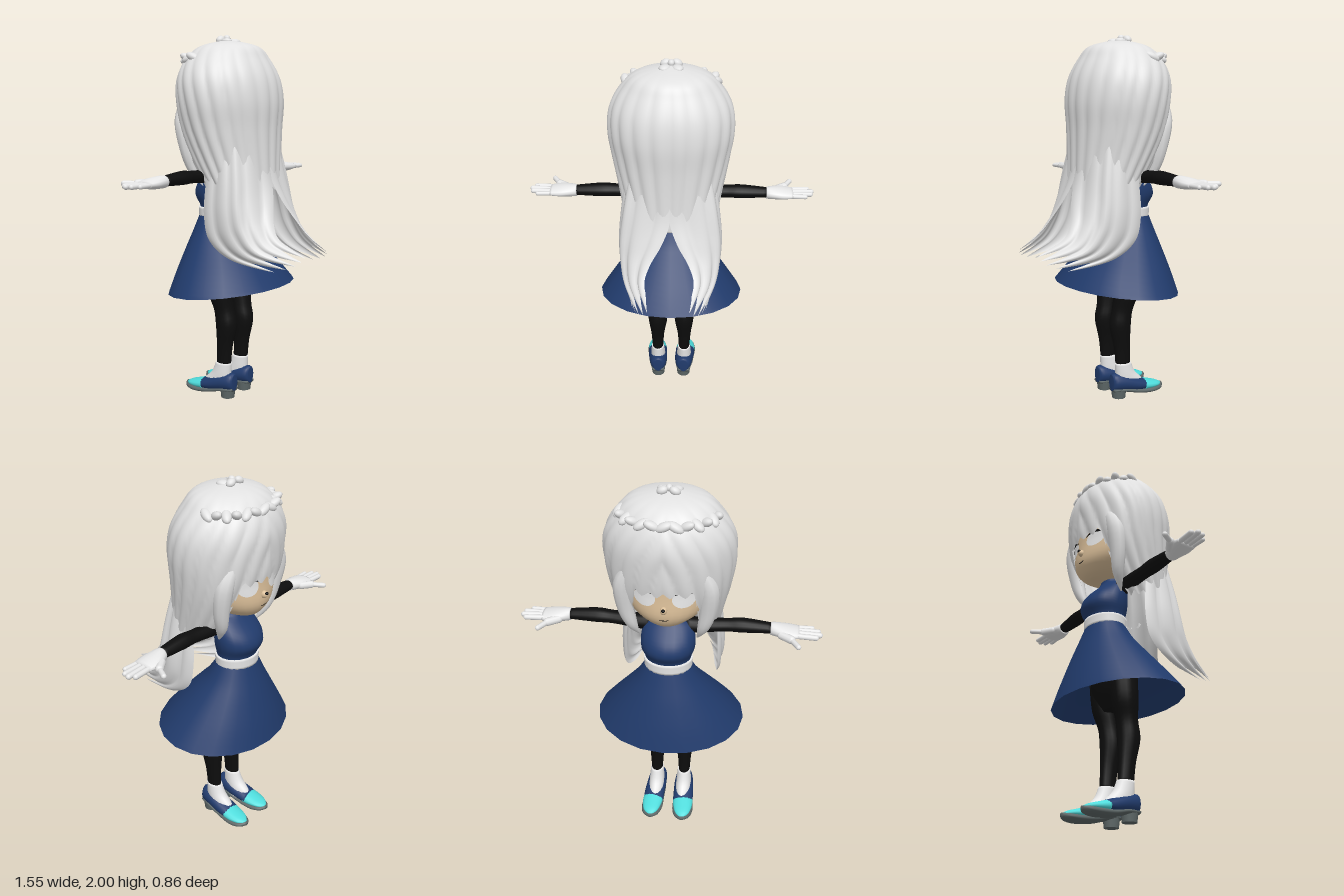
import * as THREE from 'three';
import { mergeVertices } from 'three/addons/utils/BufferGeometryUtils.js';

const mat = (name, color, side = THREE.FrontSide) => {
  const m = new THREE.MeshStandardMaterial({ color, side });
  m.name = name;
  return m;
};

// Smooth component-wise interpolation through rows, t in 0..1
function sample(rows, t) {
  const n = rows.length - 1, s = Math.min(Math.max(t, 0), 1) * n;
  const i = Math.min(Math.floor(s), n - 1), f = s - i;
  const r = (k) => rows[Math.min(Math.max(k, 0), n)];
  return rows[0].map((_, k) => {
    const a = r(i - 1)[k], b = r(i)[k], c = r(i + 1)[k], d = r(i + 2)[k];
    return b + 0.5 * f * (c - a + f * (2 * a - 5 * b + 4 * c - d + f * (3 * (b - c) + d - a)));
  });
}

// Surface from a rule p(u, v)
function surface(nu, nv, p) {
  const pos = [], idx = [], w = nu + 1;
  for (let j = 0; j <= nv; j++) for (let i = 0; i <= nu; i++) pos.push(...p(i / nu, j / nv));
  for (let j = 0; j < nv; j++) for (let i = 0; i < nu; i++) {
    const a = j * w + i;
    idx.push(a, a + 1, a + w, a + 1, a + w + 1, a + w);
  }
  let g = new THREE.BufferGeometry();
  g.setAttribute('position', new THREE.Float32BufferAttribute(pos, 3));
  g.setIndex(idx);
  g = mergeVertices(g, 1e-5);
  g.computeVertexNormals();
  return g;
}

// Elliptical rings [cx, y, cz, rx, rz, tilt] from bottom to top, closed ends by default
function loft(rows, sides = 20, closed = true) {
  const nv = (rows.length - 1) * 4;
  return surface(sides, nv + (closed ? 2 : 0), (u, v) => {
    const step = v * (nv + (closed ? 2 : 0)) - (closed ? 1 : 0);
    const [cx, y, cz, rx, rz, tilt = 0] = sample(rows, step / nv);
    const k = closed && (step < -0.5 || step > nv + 0.5) ? 0 : 1;
    const a = (u % 1) * Math.PI * 2;
    return [cx + k * rx * Math.sin(a), y + tilt * Math.cos(a), cz + k * rz * Math.cos(a)];
  });
}

export function createModel() {
  const hair = mat('silver hair', 0xe2e2e2, THREE.DoubleSide);
  const white = mat('white cloth', 0xe8e8e8);
  const navy = mat('navy cloth', 0x213b6c, THREE.DoubleSide);
  const black = mat('black knit', 0x0d0d0d);
  const skin = mat('skin', 0xdcc09a);
  const cyan = mat('cyan toe', 0x4fdcdc);
  const grey = mat('grey sole', 0x5e6868);

  const model = new THREE.Group();
  model.name = 'girl';
  const add = (name, geo, m, parent = model) => {
    const mesh = new THREE.Mesh(geo, m);
    mesh.name = name;
    parent.add(mesh);
    return mesh;
  };
  const ball = (name, m, x, y, z, rx, ry, rz, parent) => {
    const b = add(name, new THREE.SphereGeometry(1, 14, 10), m, parent);
    b.position.set(x, y, z);
    b.scale.set(rx, ry, rz);
    return b;
  };

  // Dress
  add('skirt', loft([
    [0, 0.63, -0.115, 0.405, 0.32, 0.03], [0, 0.74, -0.14, 0.325, 0.265, 0.02],
    [0, 0.86, -0.17, 0.235, 0.195, 0.01], [0, 0.95, -0.19, 0.17, 0.14, 0],
    [0, 1.03, -0.2, 0.125, 0.102, 0]], 20, false), navy);
  add('bodice', loft([
    [0, 1.02, -0.2, 0.118, 0.098], [0, 1.08, -0.2, 0.12, 0.1], [0, 1.14, -0.21, 0.138, 0.12],
    [0, 1.2, -0.2, 0.14, 0.11], [0, 1.27, -0.17, 0.12, 0.075], [0, 1.31, -0.17, 0.06, 0.05],
    [0, 1.37, -0.17, 0.055, 0.05]]), navy);
  add('belt', loft([[0, 1.02, -0.2, 0.126, 0.106], [0, 1.075, -0.2, 0.128, 0.108]], 24), white);
  add('hips', loft([[0, 0.58, -0.12, 0.07, 0.06], [0, 0.68, -0.14, 0.15, 0.09],
    [0, 0.85, -0.17, 0.13, 0.09]]), black);

  // Head and face
  const head = [[0, 1.315, -0.26, 0.03, 0.03], [0, 1.34, -0.21, 0.11, 0.12], [0, 1.4, -0.18, 0.19, 0.18],
    [0, 1.5, -0.15, 0.24, 0.205], [0, 1.65, -0.14, 0.25, 0.2], [0, 1.8, -0.13, 0.15, 0.12]];
  add('head', loft(head, 32), skin);
  const faceZ = (x, y) => {
    let lo = 0, hi = 1;
    for (let i = 0; i < 20; i++) {
      const m = (lo + hi) / 2;
      if (sample(head, m)[1] < y) lo = m; else hi = m;
    }
    const r = sample(head, lo);
    return r[2] - r[4] * Math.sqrt(Math.max(0, 1 - (x / r[3]) ** 2));
  };
  // Thin oval lying on the face, optionally arched
  const patch = (name, m, cx, cy, w, h, lift, arch = 0) => add(name, surface(24, 5, (u, v) => {
    const a = (u % 1) * Math.PI * 2, dx = w * v * Math.cos(a);
    const x = cx + dx, y = cy + h * v * Math.sin(a) - arch * (dx / w) ** 2;
    return [x, y, faceZ(x, y) - lift];
  }), m);
  for (const s of [-1, 1]) {
    patch('eyeWhite', white, s * 0.095, 1.505, 0.055, 0.045, 0.004);
    patch('eyelash', black, s * 0.097, 1.548, 0.06, 0.008, 0.008, 0.022);
    patch('eyebrow', black, s * 0.095, 1.59, 0.04, 0.004, 0.006, 0.01);
  }
  patch('mouth', black, 0, 1.39, 0.025, 0.0025, 0.004, -0.004);
  ball('nose', skin, 0, 1.447, -0.358, 0.018, 0.02, 0.024);
  ball('noseTip', black, 0, 1.456, -0.378, 0.01, 0.008, 0.009);

  // Hair cap: rows [y, rx, front z, back z]; its lower edge leaves the face open
  const cap = [[1.18, 0.245, -0.2, 0.15], [1.35, 0.28, -0.305, 0.145], [1.5, 0.31, -0.365, 0.145],
    [1.65, 0.33, -0.388, 0.15], [1.77, 0.315, -0.388, 0.13], [1.87, 0.255, -0.35, 0.08],
    [1.94, 0.17, -0.27, 0.02], [1.975, 0, -0.13, -0.13]];
  const capPoint = (a, t, grooves = 0.045) => {
    const [y, rx, zf, zb] = sample(cap, t);
    const k = 1 - grooves * (1 - Math.abs(Math.sin(8 * a * (1 + 0.5 * (1 - t))))) * (1 - t * t);
    return [k * rx * Math.sin(a), y, (zf + zb) / 2 + k * (zb - zf) / 2 * Math.cos(a)];
  };
  const capEdge = (a) => {
    const f = Math.PI - Math.abs(a);
    const jag = Math.abs(((f * 4.5) % 1) - 0.5);
    const open = 1 - THREE.MathUtils.smoothstep(f, 0.48, 0.72);
    return open * 0.3 + jag * 0.06;
  };
  add('hairCap', surface(128, 40, (u, v) => {
    const a = (u * 2 - 1) * Math.PI, b = capEdge(a);
    return capPoint(a, b + (1 - b) * v);
  }), hair);

  // Braid across the crown and small knot on top
  for (let i = -6; i <= 6; i++) {
    const [x, y, z] = capPoint(Math.PI + i * 0.22, 0.73, 0);
    const b = ball('braidLobe', hair, x * 0.96, y - 0.005, z * 0.96 - 0.008, 0.045, 0.022, 0.026);
    b.rotation.set(0, -i * 0.2, i % 2 ? 0.45 : -0.45);
  }
  for (const s of [-1, 1]) {
    ball('knotLoop', hair, s * 0.03, 1.975, -0.165, 0.028, 0.02, 0.022).rotation.z = -s * 0.4;
    ball('knotEnd', hair, s * 0.032, 1.965, -0.12, 0.028, 0.016, 0.035).rotation.y = s * 0.5;
  }
  ball('knotCentre', hair, 0, 1.982, -0.145, 0.018, 0.018, 0.02);

  // One side of everything mirrored
  const side = new THREE.Group();
  side.name = 'leftSide';

  // Long tail: front, middle and rear guide strands, blended across and grooved
  const guides = [
    [[0.245, 1.38, -0.08], [0.255, 1.2, -0.1], [0.262, 1.05, -0.105], [0.26, 0.92, -0.07], [0.245, 0.83, 0.06], [0.2, 0.785, 0.28]],
    [[0.21, 1.42, 0.06], [0.24, 1.25, 0.09], [0.262, 1.1, 0.11], [0.262, 0.98, 0.14], [0.235, 0.88, 0.22], [0.15, 0.825, 0.4]],
    [[0.02, 1.42, 0.13], [0.01, 1.25, 0.155], [0.05, 1.13, 0.195], [0.115, 1.02, 0.24], [0.14, 0.94, 0.3], [0.1, 0.87, 0.43]]];
  const tail = (inset) => surface(30, 28, (u, v) => {
    const jag = Math.abs(((u * 5) % 1) - 0.5);
    const t = v * (1 - 0.14 * jag * 2 * v);
    const p = sample(guides.map((g) => sample(g, t)), u);
    const groove = 0.012 * (1 - Math.abs(Math.sin(u * Math.PI * 5)));
    const k = groove + inset * Math.sin(u * Math.PI) * (1 - v);
    return [p[0] - k, p[1], p[2] - k * 0.7];
  });
  add('tailOuter', tail(0), hair, side);
  add('tailInner', tail(0.05), hair, side);

  // Lock framing the face
  add('faceLock', loft([[0.15, 1.2, -0.2, 0.004, 0.004], [0.18, 1.28, -0.24, 0.03, 0.028],
    [0.205, 1.4, -0.26, 0.045, 0.04], [0.205, 1.55, -0.28, 0.05, 0.05], [0.15, 1.68, -0.3, 0.03, 0.03]], 10), hair, side);

  // Leg, sock and shoe
  add('leg', loft([[0.08, 0.19, -0.115, 0.032, 0.044], [0.08, 0.3, -0.108, 0.039, 0.048],
    [0.078, 0.42, -0.097, 0.056, 0.062], [0.08, 0.51, -0.11, 0.056, 0.06],
    [0.09, 0.61, -0.13, 0.068, 0.072], [0.09, 0.74, -0.14, 0.07, 0.08]], 16), black, side);
  add('sock', loft([[0.08, 0.04, -0.17, 0.045, 0.1], [0.08, 0.09, -0.155, 0.044, 0.085],
    [0.08, 0.14, -0.13, 0.042, 0.06], [0.08, 0.2, -0.115, 0.037, 0.048]], 16), white, side);
  // Rows along the foot: [cx, distance forward, height, half width, half height]
  const along = (rows) => loft(rows, 16).rotateX(-Math.PI / 2);
  add('shoeUpper', along([[0.078, 0.042, 0.09, 0.025, 0.045], [0.078, 0.06, 0.093, 0.045, 0.05],
    [0.08, 0.12, 0.085, 0.055, 0.05], [0.085, 0.19, 0.067, 0.058, 0.042], [0.087, 0.25, 0.055, 0.057, 0.03]]), navy, side);
  add('shoeToe', along([[0.087, 0.235, 0.056, 0.058, 0.034], [0.09, 0.28, 0.05, 0.055, 0.026],
    [0.092, 0.33, 0.045, 0.04, 0.016], [0.092, 0.36, 0.04, 0.012, 0.007]]), cyan, side);
  add('sole', along([[0.078, 0.045, 0.052, 0.035, 0.012], [0.08, 0.12, 0.047, 0.052, 0.015],
    [0.085, 0.2, 0.03, 0.056, 0.018], [0.09, 0.28, 0.024, 0.06, 0.02],
    [0.092, 0.34, 0.028, 0.045, 0.018], [0.092, 0.37, 0.034, 0.012, 0.01]]), grey, side);
  add('heel', new THREE.CylinderGeometry(0.044, 0.038, 0.055, 14).translate(0.078, 0.0275, -0.09), grey, side);

  // Arm and gloved hand: rows [-height, x, z, half height, half depth]
  const reach = (rows) => loft(rows, 14).rotateZ(-Math.PI / 2);
  add('sleeve', reach([[-1.25, 0.09, -0.165, 0.045, 0.045], [-1.255, 0.2, -0.16, 0.036, 0.042],
    [-1.26, 0.3, -0.155, 0.033, 0.038], [-1.262, 0.38, -0.152, 0.036, 0.042],
    [-1.257, 0.53, -0.152, 0.026, 0.03]]), black, side);
  add('palm', reach([[-1.255, 0.515, -0.152, 0.031, 0.034], [-1.255, 0.54, -0.155, 0.032, 0.045],
    [-1.252, 0.6, -0.162, 0.028, 0.062], [-1.25, 0.66, -0.16, 0.018, 0.055]]), white, side);
  const finger = (name, x0, z0, x1, z1, r) => {
    const f = add(name, new THREE.CapsuleGeometry(r, Math.hypot(x1 - x0, z1 - z0), 4, 10), white, side);
    f.position.set((x0 + x1) / 2, 1.25, (z0 + z1) / 2);
    f.quaternion.setFromUnitVectors(new THREE.Vector3(0, 1, 0), new THREE.Vector3(x1 - x0, 0, z1 - z0).normalize());
  };
  finger('indexFinger', 0.63, -0.198, 0.742, -0.204, 0.014);
  finger('middleFinger', 0.64, -0.17, 0.762, -0.178, 0.014);
  finger('ringFinger', 0.64, -0.145, 0.755, -0.147, 0.013);
  finger('littleFinger', 0.62, -0.122, 0.725, -0.118, 0.012);
  finger('thumb', 0.57, -0.2, 0.62, -0.235, 0.021);
  finger('thumbTip', 0.62, -0.235, 0.655, -0.295, 0.014);

  model.add(side);
  const other = side.clone();
  other.name = 'rightSide';
  other.scale.x = -1;
  model.add(other);
  return model;
}
